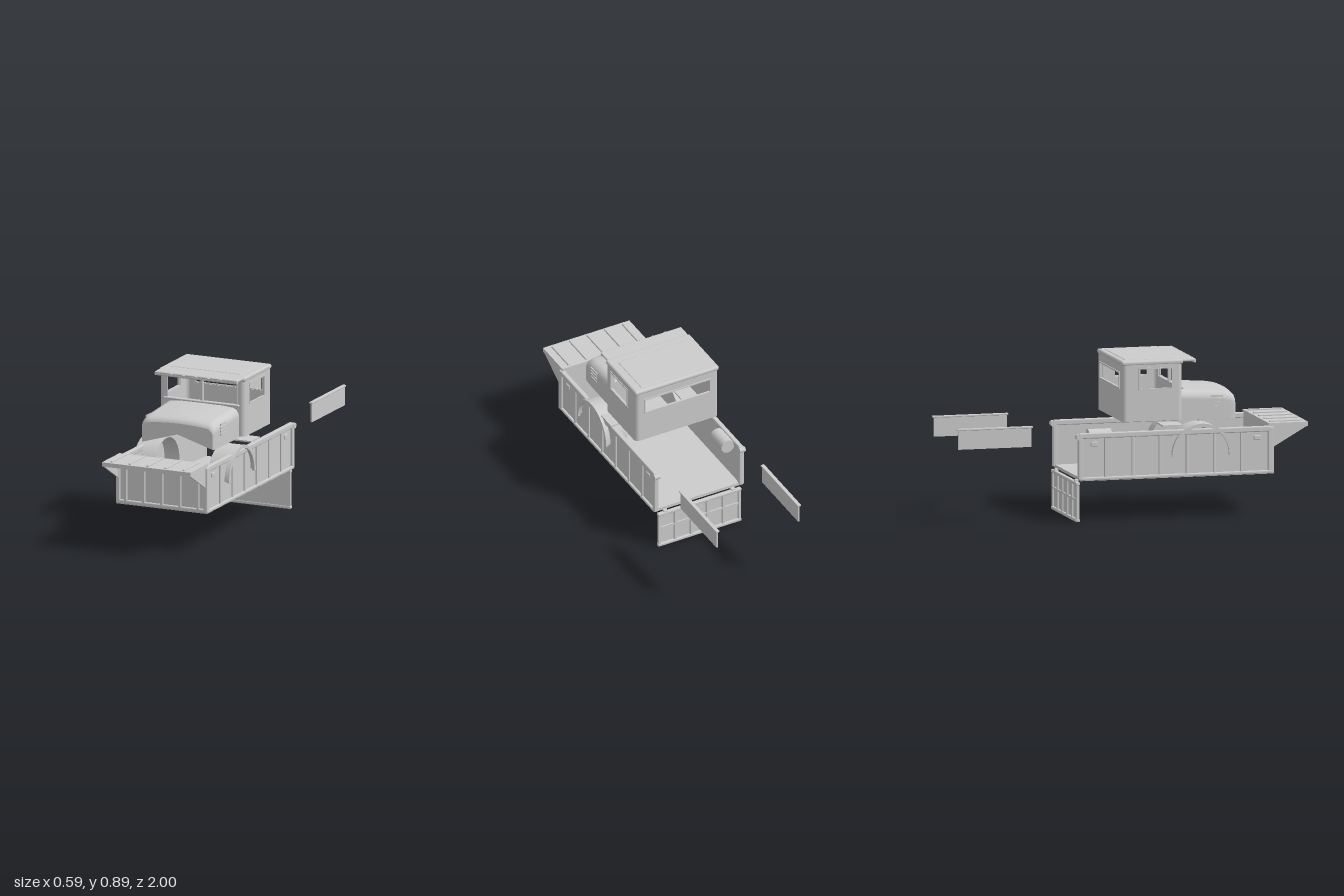
import * as THREE from 'three';
import { toCreasedNormals } from 'three/addons/utils/BufferGeometryUtils.js';
import { RoundedBoxGeometry } from 'three/addons/geometries/RoundedBoxGeometry.js';

const mat = new THREE.MeshStandardMaterial({ color: 0xcccccc });
const thin = new THREE.MeshStandardMaterial({ color: 0xcccccc, side: THREE.DoubleSide });

function add(parent, name, geo, x = 0, y = 0, z = 0, material = mat) {
  const m = new THREE.Mesh(geo, material);
  m.name = name;
  m.position.set(x, y, z);
  parent.add(m);
  return m;
}

// Box given by its limits on each axis, optionally with rounded edges
function box(parent, name, [x0, x1], [y0, y1], [z0, z1], round = 0) {
  const s = [x1 - x0, y1 - y0, z1 - z0];
  const geo = round ? new RoundedBoxGeometry(...s, 2, round) : new THREE.BoxGeometry(...s);
  return add(parent, name, geo, (x0 + x1) / 2, (y0 + y1) / 2, (z0 + z1) / 2);
}

function group(parent, name) {
  const g = new THREE.Group();
  g.name = name;
  parent.add(g);
  return g;
}

const span = (s, a, b) => (s > 0 ? [a, b] : [-b, -a]);
const polygon = (pts) => new THREE.Shape(pts.map((p) => new THREE.Vector2(...p)));

// Upright wall panel with an optional rectangular window
function panel([a0, a1], [b0, b1], depth, win) {
  const rect = (p0, p1, q0, q1) => [[p0, q0], [p1, q0], [p1, q1], [p0, q1]];
  const s = polygon(rect(a0, a1, b0, b1));
  if (win) s.holes.push(polygon(rect(...win).reverse()));
  return new THREE.ExtrudeGeometry(s, { depth, bevelEnabled: false });
}

// Profile drawn in (z, y), extruded across x from x0 to x0 + width
function sideExtrude(shape, x0, width) {
  const g = new THREE.ExtrudeGeometry(shape, { depth: width, bevelEnabled: false, curveSegments: 24 });
  return g.rotateY(-Math.PI / 2).scale(1, 1, 1).translate(x0 + width, 0, 0);
}

function buildBed(root) {
  const bed = group(root, 'dumpBed');
  box(bed, 'bedFloor', [-0.275, 0.275], [0.23, 0.247], [-0.3, 0.8]);
  box(bed, 'frontWall', [-0.27, 0.27], [0.235, 0.49], [0.775, 0.793]);
  box(bed, 'frontBottomRail', [-0.278, 0.278], [0.232, 0.255], [0.775, 0.805], 0.006);
  for (let i = -2; i <= 2; i++) {
    const x = i * 0.11;
    box(bed, 'frontRib', [x - 0.008, x + 0.008], [0.25, 0.48], [0.78, 0.806], 0.004);
    box(bed, 'canopyRib', [x - 0.007, x + 0.007], [0.5, 0.519], [0.79, 0.985], 0.004);
  }
  // Canopy wedge reaching forward, with a triangular gusset at each end
  add(bed, 'canopy', sideExtrude(polygon([[0.775, 0.472], [1, 0.486], [1, 0.51], [0.775, 0.51]]), -0.27, 0.54));
  for (const s of [-1, 1]) {
    add(bed, 'canopyGusset', sideExtrude(polygon([[0.79, 0.37], [1, 0.49], [0.79, 0.5]]), s * 0.264 - 0.004, 0.008));
    box(bed, 'sideWall', span(s, 0.256, 0.268), [0.235, 0.485], [-0.3, 0.8]);
    box(bed, 'topRail', span(s, 0.252, 0.279), [0.465, 0.495], [-0.305, 0.8], 0.006);
    box(bed, 'bottomRail', span(s, 0.255, 0.281), [0.232, 0.25], [-0.305, 0.803], 0.006);
    box(bed, 'frontPost', span(s, 0.255, 0.28), [0.235, 0.49], [0.77, 0.805], 0.006);
    box(bed, 'rearPost', span(s, 0.252, 0.28), [0.235, 0.49], [-0.312, -0.285], 0.006);
    for (let i = 0; i < 6; i++) {
      const z = 0.62 - i * 0.155;
      box(bed, 'sideRib', span(s, 0.26, 0.277), [0.24, 0.475], [z - 0.008, z + 0.008], 0.004);
    }
    for (const z of [0.71, -0.22]) box(bed, 'sideHandle', span(s, 0.262, 0.274), [0.42, 0.446], [z - 0.02, z + 0.02], 0.004);
    const knob = add(bed, 'rearCornerKnob', new THREE.CylinderGeometry(0.016, 0.016, 0.035, 16), s * 0.266, 0.475, -0.31);
    knob.rotation.z = Math.PI / 2;
  }
}

function buildTailgate(root) {
  const gate = group(root, 'tailgate');
  box(gate, 'gatePanel', [-0.255, 0.255], [0.003, 0.22], [-0.309, -0.3]);
  for (const y of [0.01, 0.214]) box(gate, 'gateRail', [-0.26, 0.26], [y - 0.01, y + 0.008], [-0.322, -0.298], 0.005);
  for (const x of [-0.25, -0.15, -0.05, 0.05, 0.15, 0.25])
    box(gate, 'gateRib', [x - 0.009, x + 0.009], [0.004, 0.22], [-0.319, -0.302], 0.004);
  box(gate, 'gateCrossRib', [-0.25, 0.25], [0.115, 0.127], [-0.317, -0.302]);
  for (const s of [-1, 1]) box(gate, 'gateHinge', span(s, 0.198, 0.224), [0.212, 0.232], [-0.318, -0.295], 0.005);
}

function buildFenders(root) {
  const arch = (r0, r1, drop) => {
    const sh = new THREE.Shape();
    sh.moveTo(0.39 + r1, 0.355 - drop);
    sh.absarc(0.39, 0.355, r1, 0, Math.PI, false);
    sh.lineTo(0.39 - r1, 0.355 - drop);
    sh.lineTo(0.39 - r0, 0.355 - drop);
    sh.absarc(0.39, 0.355, r0, Math.PI, 0, true);
    sh.lineTo(0.39 + r0, 0.355 - drop);
    return sh;
  };
  for (const s of [-1, 1]) {
    const f = group(root, s > 0 ? 'leftFender' : 'rightFender');
    const at = (a, b) => [s > 0 ? a : -b, b - a];
    add(f, 'fenderArch', toCreasedNormals(sideExtrude(arch(0.163, 0.17, 0), ...at(0.165, 0.295)), 0.5));
    add(f, 'fenderLip', toCreasedNormals(sideExtrude(arch(0.153, 0.171, 0.008), ...at(0.281, 0.296)), 0.5));
    box(f, 'stepPlate', span(s, 0.165, 0.295), [0.517, 0.525], [0.165, 0.28]);
  }
}

function buildCab(root) {
  const cab = group(root, 'cab');
  const W = 0.26, Z0 = -0.057, Z1 = 0.287, R = 0.026, Y = [0.547, 0.868], T = 0.012;
  add(cab, 'windscreenWall', panel([-W + R, W - R], Y, T, [-0.213, 0.213, 0.722, 0.84]), 0, 0, Z1 - T);
  add(cab, 'rearWall', panel([-W + R, W - R], Y, T, [-0.205, 0.205, 0.728, 0.816]), 0, 0, Z0);
  for (const s of [-1, 1]) {
    const side = panel([Z0 + R, Z1 - R], Y, T, [0.04, 0.23, 0.725, 0.84]).rotateY(-Math.PI / 2);
    add(cab, 'doorWall', side, s > 0 ? W : -W + T, 0, 0);
    // Rounded vertical corners
    for (const f of [-1, 1]) {
      const start = f > 0 ? (s > 0 ? 0 : -Math.PI / 2) : (s > 0 ? Math.PI / 2 : Math.PI);
      const c = new THREE.CylinderGeometry(R, R, Y[1] - Y[0], 8, 1, true, start, Math.PI / 2);
      add(cab, 'cabCorner', c, s * (W - R), (Y[0] + Y[1]) / 2, f > 0 ? Z1 - R : Z0 + R, thin);
    }
    // Window frames
    for (const y of [0.725, 0.84]) box(cab, 'doorWindowTrim', span(s, 0.256, 0.264), [y - 0.004, y + 0.004], [0.036, 0.234]);
    for (const z of [0.04, 0.23]) box(cab, 'doorWindowTrim', span(s, 0.256, 0.264), [0.721, 0.844], [z - 0.004, z + 0.004]);
    box(cab, 'windscreenTrim', span(s, 0.209, 0.217), [0.722, 0.842], [0.283, 0.292]);
    box(cab, 'rearWindowTrim', span(s, 0.201, 0.209), [0.724, 0.82], [-0.062, -0.05]);
  }
  for (const y of [0.728, 0.816]) box(cab, 'rearWindowTrim', [-0.209, 0.209], [y - 0.004, y + 0.004], [-0.062, -0.05]);
  box(cab, 'windscreenPillar', [-0.008, 0.008], [0.72, 0.842], [0.272, 0.294], 0.004);
  box(cab, 'windscreenSill', [-0.23, 0.23], [0.714, 0.726], [0.275, 0.302], 0.005);
  // Roof, sun visor and marker lamps
  box(cab, 'roof', [-0.262, 0.262], [0.856, 0.884], [-0.06, 0.291], 0.012);
  box(cab, 'roofPanel', [-0.213, 0.213], [0.876, 0.887], [-0.03, 0.237], 0.004);
  box(cab, 'sunVisor', [-0.252, 0.252], [0.868, 0.883], [0.28, 0.367], 0.006);
  box(cab, 'visorLip', [-0.252, 0.252], [0.86, 0.874], [0.352, 0.367], 0.005);
  for (let i = -2; i <= 2; i++)
    add(cab, 'markerLamp', new THREE.SphereGeometry(0.008, 12, 8).scale(1.3, 0.6, 1), i * 0.075, 0.876, 0.366);
}

// Hood cross-section: upright sides, rounded shoulders and a slight crown
function hoodSection(w, top, r) {
  const pts = [[w, 0.54]], n = 8;
  for (let i = 0; i <= n; i++) {
    const a = (i / n) * Math.PI / 2;
    pts.push([w - r + r * Math.cos(a), top - 0.01 - r + r * Math.sin(a)]);
  }
  for (const k of [0.66, 0.33]) pts.push([(w - r) * k, top - 0.01 * k * k]);
  return [...pts, [0, top], ...pts.map(([x, y]) => [-x, y]).reverse()];
}

function buildHood(root) {
  const hood = group(root, 'hood');
  const stations = [[0.28, 0.226, 0.717, 0.05], [0.42, 0.226, 0.709, 0.05], [0.53, 0.225, 0.702, 0.05],
    [0.565, 0.224, 0.696, 0.05], [0.585, 0.222, 0.688, 0.048], [0.596, 0.219, 0.677, 0.046], [0.6, 0.215, 0.667, 0.045]];
  const pos = [], idx = [], n = hoodSection(1, 1, 0.1).length;
  stations.forEach(([z, w, top, r], j) => {
    for (const [x, y] of hoodSection(w, top, r)) pos.push(x, y, z);
    for (let i = 0; j > 0 && i < n - 1; i++) {
      const a = (j - 1) * n + i, b = a + n;
      idx.push(a, a + 1, b, b, a + 1, b + 1);
    }
  });
  const g = new THREE.BufferGeometry();
  g.setAttribute('position', new THREE.Float32BufferAttribute(pos, 3));
  g.setIndex(idx);
  g.computeVertexNormals();
  add(hood, 'hoodShell', g, 0, 0, 0, thin);
  // Nose with a shallow chevron cut along its lower edge
  const nose = polygon([...hoodSection(0.215, 0.667, 0.045), [0, 0.605]]);
  add(hood, 'hoodNose', new THREE.ShapeGeometry(nose), 0, 0, 0.6, thin);
  for (const s of [-1, 1])
    for (let i = 0; i < 4; i++) {
      const y = 0.605 + i * 0.019;
      box(hood, 'hoodVent', span(s, 0.223, 0.229), [y, y + 0.01], [0.455, 0.525]);
    }
}

export function createModel() {
  const root = new THREE.Group();
  root.name = 'dumpTruckParts';
  buildBed(root);
  buildTailgate(root);
  buildFenders(root);
  buildCab(root);
  buildHood(root);
  // Tank lying along the right side
  const tank = add(root, 'tank', new THREE.CylinderGeometry(0.04, 0.04, 0.13, 24), -0.216, 0.47, -0.178);
  tank.rotation.x = Math.PI / 2;
  // Detached side boards with a capping rail
  for (const s of [-1, 1]) {
    const board = group(root, s > 0 ? 'leftSideBoard' : 'rightSideBoard');
    box(board, 'boardPanel', span(s, 0.25, 0.26), [0.43, 0.54], [-0.992, -0.574]);
    box(board, 'boardRail', span(s, 0.244, 0.266), [0.535, 0.545], [-1, -0.568], 0.003);
  }
  return root;
}
